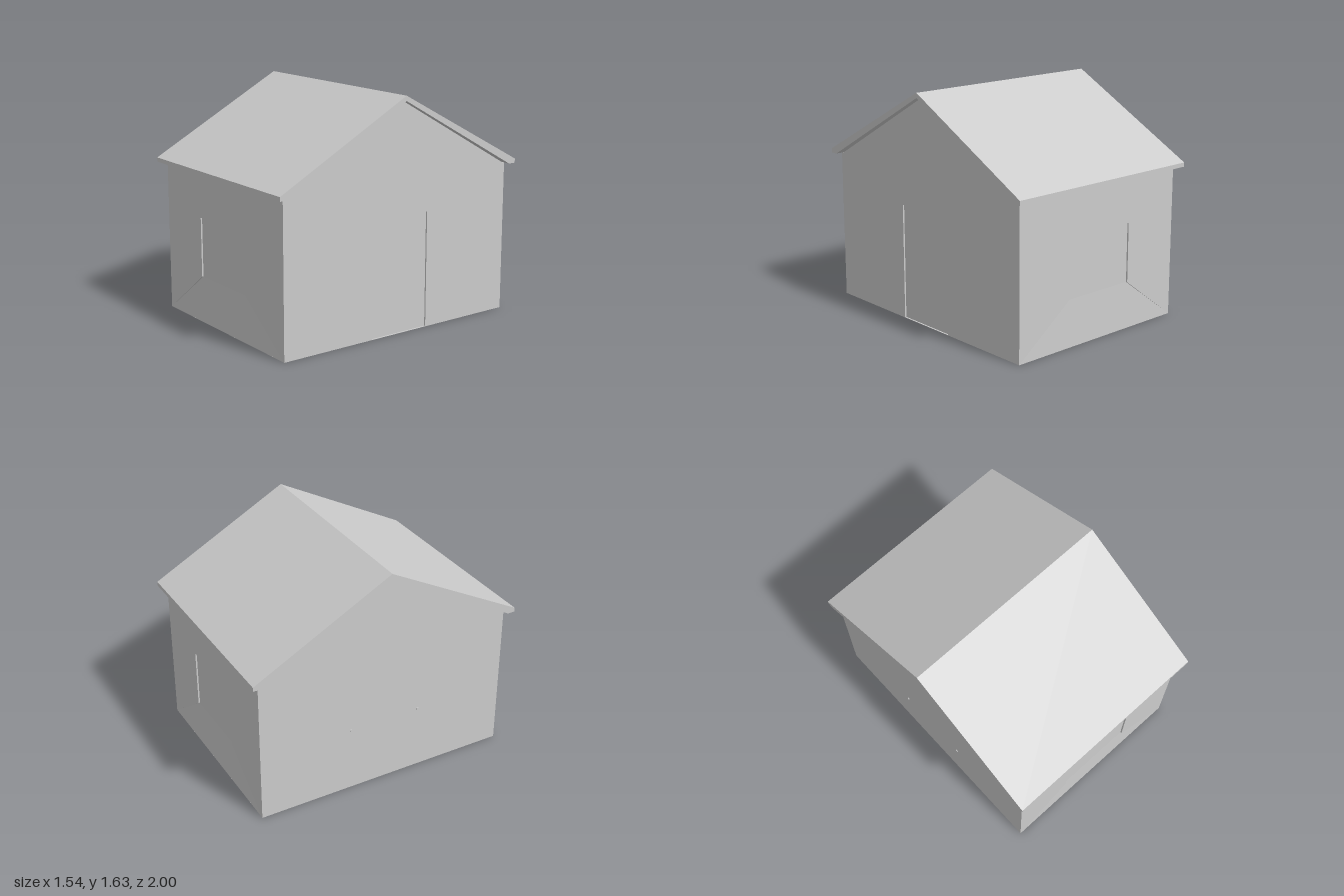
import * as THREE from 'three';

const W = 0.72, D = 0.945, EAVE = 1.07, INSET = 0.012;
const material = new THREE.MeshStandardMaterial({ color: 0xcccccc, flatShading: true });

function add(parent, name, geometry) {
  const mesh = new THREE.Mesh(geometry, material);
  mesh.name = name;
  parent.add(mesh);
  return mesh;
}

function extrude(points, depth) {
  const shape = new THREE.Shape(points.map(([x, y]) => new THREE.Vector2(x, y)));
  return new THREE.ExtrudeGeometry(shape, { depth, bevelEnabled: false });
}

// Extrudes a symmetric (z, y) profile along x, starting at x0
function extrudeAlongX(points, x0, x1) {
  return extrude(points, x1 - x0).rotateY(Math.PI / 2).translate(x0, 0, 0);
}

// Long wall: a skin around a recessed window, with a sloping apron below it
function longWall(name) {
  const group = new THREE.Group();
  group.name = name;
  const skin = extrude([
    [-W, 0], [-0.28, 0.33], [-0.28, 0.75], [0.28, 0.75],
    [0.28, 0.33], [W, 0], [W, EAVE], [-W, EAVE],
  ], INSET);
  add(group, 'wallSkin', skin.translate(0, 0, D - INSET));

  const apron = new THREE.BufferGeometry();
  apron.setAttribute('position', new THREE.Float32BufferAttribute([
    -W, 0, D, W, 0, D, 0.28, 0.33, D - INSET, -0.28, 0.33, D - INSET,
  ], 3));
  apron.setIndex([0, 1, 2, 0, 2, 3]);
  apron.computeVertexNormals();
  add(group, 'windowApron', apron);

  const pane = new THREE.PlaneGeometry(0.56, 0.42);
  add(group, 'windowPane', pane.translate(0, 0.54, D - INSET + 0.001));
  return group;
}

export function createModel() {
  const house = new THREE.Group();
  house.name = 'house';

  // Solid gabled body
  const d = D - INSET;
  add(house, 'body', extrudeAlongX(
    [[-d, 0], [d, 0], [d, EAVE], [0, 1.6], [-d, EAVE]], -W, W - INSET));
  add(house, 'floor', new THREE.BoxGeometry(2 * W, 0.002, 2 * D).translate(0, 0.001, 0));

  // Front and back walls with windows
  const front = longWall('frontWall');
  const back = longWall('backWall');
  back.rotation.y = Math.PI;
  house.add(front, back);

  // Gable wall around the recessed door
  add(house, 'doorWall', extrudeAlongX([
    [-d, 0], [-0.235, 0], [-0.235, 0.82], [0.235, 0.82], [0.235, 0],
    [d, 0], [d, EAVE], [0, 1.6], [-d, EAVE],
  ], W - INSET, W));
  add(house, 'door', new THREE.PlaneGeometry(0.47, 0.82)
    .rotateY(Math.PI / 2).translate(W - INSET + 0.001, 0.41, 0));

  // Roof slab with overhanging eaves and gable ends
  add(house, 'roof', extrudeAlongX([
    [-1, EAVE], [-D, EAVE], [0, 1.6], [D, EAVE],
    [1, EAVE], [1, 1.1], [0, 1.635], [-1, 1.1],
  ], -0.77, 0.77));

  // Small pegs on the plain gable wall
  for (const z of [-0.265, 0.265]) {
    add(house, 'wallPeg', new THREE.BoxGeometry(0.012, 0.014, 0.014).translate(-W, 0.48, z));
  }

  // Small feet under the floor
  for (const x of [-0.66, -0.14]) for (const z of [0.54, 0.84]) {
    add(house, 'foot', new THREE.BoxGeometry(0.06, 0.006, 0.06).translate(x, 0.003, z));
  }
  return house;
}
